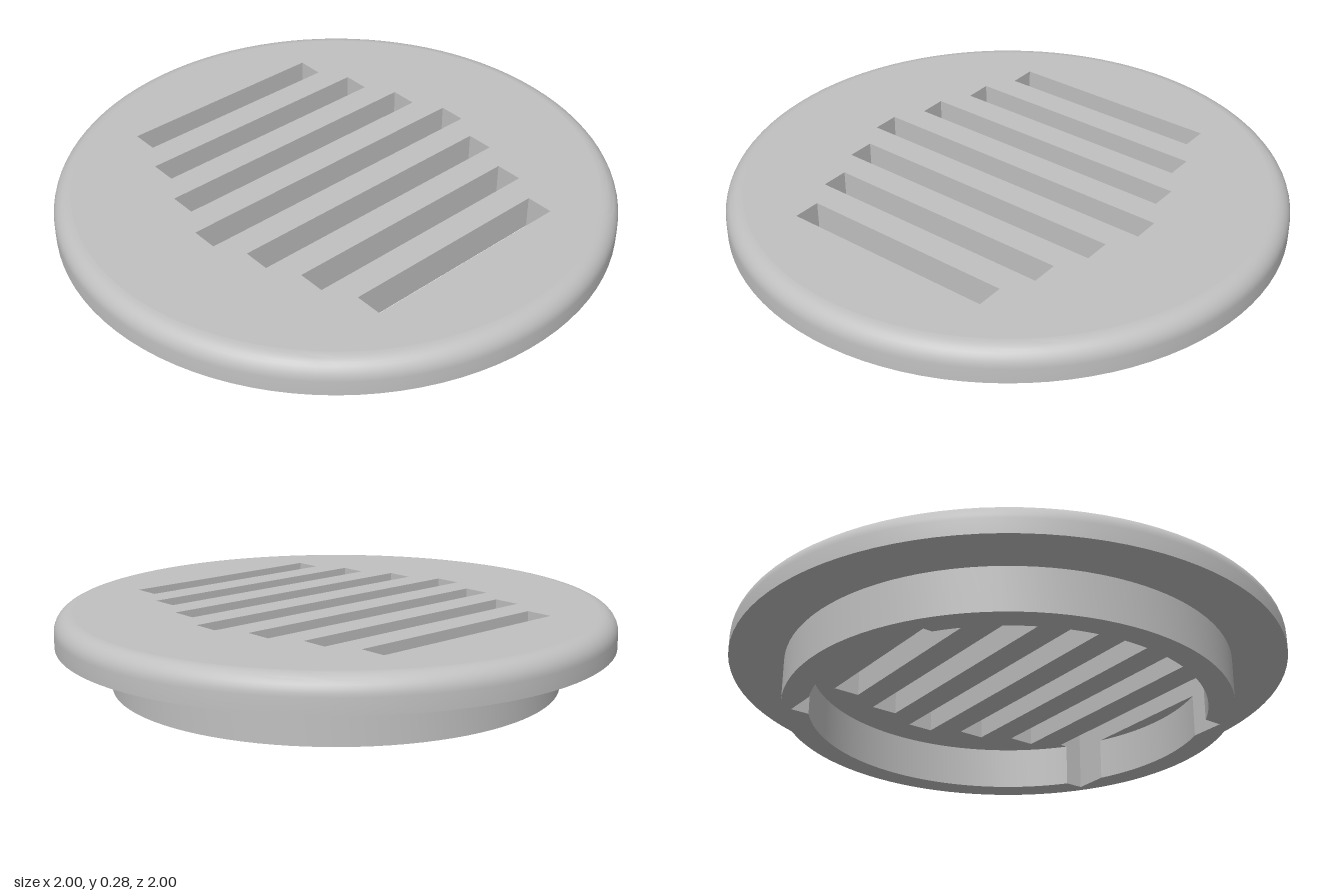
import * as THREE from 'three';
import { toCreasedNormals } from 'three/addons/utils/BufferGeometryUtils.js';

const LIP_Y = 0.16, TOP_Y = 0.28, ROUND = 0.065;
const CORE_R = 1 - ROUND, COLLAR_R = 0.805, BORE_R = 0.712;
const SLOT_HALF_W = 0.05, SLOT_PITCH = 0.203;
const SLOT_HALF_L = [0.586, 0.526, 0.463, 0.4]; // centre slot outwards

// Extrude a plan outline upwards from y0 to y1
function slab(shape, y0, y1) {
  const g = new THREE.ExtrudeGeometry(shape, { depth: y1 - y0, bevelEnabled: false, curveSegments: 48 });
  g.rotateX(-Math.PI / 2);
  g.translate(0, y0, 0);
  return toCreasedNormals(g, 0.3);
}

function disc(r) {
  const s = new THREE.Shape();
  s.absarc(0, 0, r, 0, Math.PI * 2, false);
  return s;
}

export function createModel() {
  const model = new THREE.Group();
  model.name = 'ventCover';
  const grey = new THREE.MeshStandardMaterial({ color: 0xc0c0c0 });
  grey.name = 'grey';
  const add = (name, geometry) => {
    const mesh = new THREE.Mesh(geometry, grey);
    mesh.name = name;
    model.add(mesh);
  };

  // Slotted cover plate
  const plate = disc(CORE_R);
  for (let i = -3; i <= 3; i++) {
    const x = i * SLOT_PITCH, w = SLOT_HALF_W, l = SLOT_HALF_L[Math.abs(i)];
    plate.holes.push(new THREE.Path([
      new THREE.Vector2(x - w, -l), new THREE.Vector2(x - w, l),
      new THREE.Vector2(x + w, l), new THREE.Vector2(x + w, -l),
    ]));
  }
  add('slottedPlate', slab(plate, LIP_Y, TOP_Y));

  // Rounded rim around the plate
  const profile = [new THREE.Vector2(CORE_R, LIP_Y), new THREE.Vector2(1, LIP_Y)];
  for (let i = 0; i <= 8; i++) {
    const a = (i / 8) * Math.PI / 2;
    profile.push(new THREE.Vector2(CORE_R + ROUND * Math.cos(a), TOP_Y - ROUND + ROUND * Math.sin(a)));
  }
  add('roundedRim', toCreasedNormals(new THREE.LatheGeometry(profile, 96), 0.3));

  // Collar below, its bore notched where the outermost slots run into it
  const nx = 3 * SLOT_PITCH + SLOT_HALF_W, nz = SLOT_HALF_L[3];
  const a = Math.acos(nx / BORE_R), b = Math.asin(nz / BORE_R);
  const bore = new THREE.Path();
  bore.absarc(0, 0, BORE_R, -a, a, false);
  bore.lineTo(nx, nz);
  bore.absarc(0, 0, BORE_R, b, Math.PI - b, false);
  bore.lineTo(-nx, nz);
  bore.absarc(0, 0, BORE_R, Math.PI - a, Math.PI + a, false);
  bore.lineTo(-nx, -nz);
  bore.absarc(0, 0, BORE_R, Math.PI + b, 2 * Math.PI - b, false);
  bore.lineTo(nx, -nz);
  bore.closePath();
  const collar = disc(COLLAR_R);
  collar.holes.push(bore);
  add('collar', slab(collar, 0, LIP_Y));

  return model;
}
